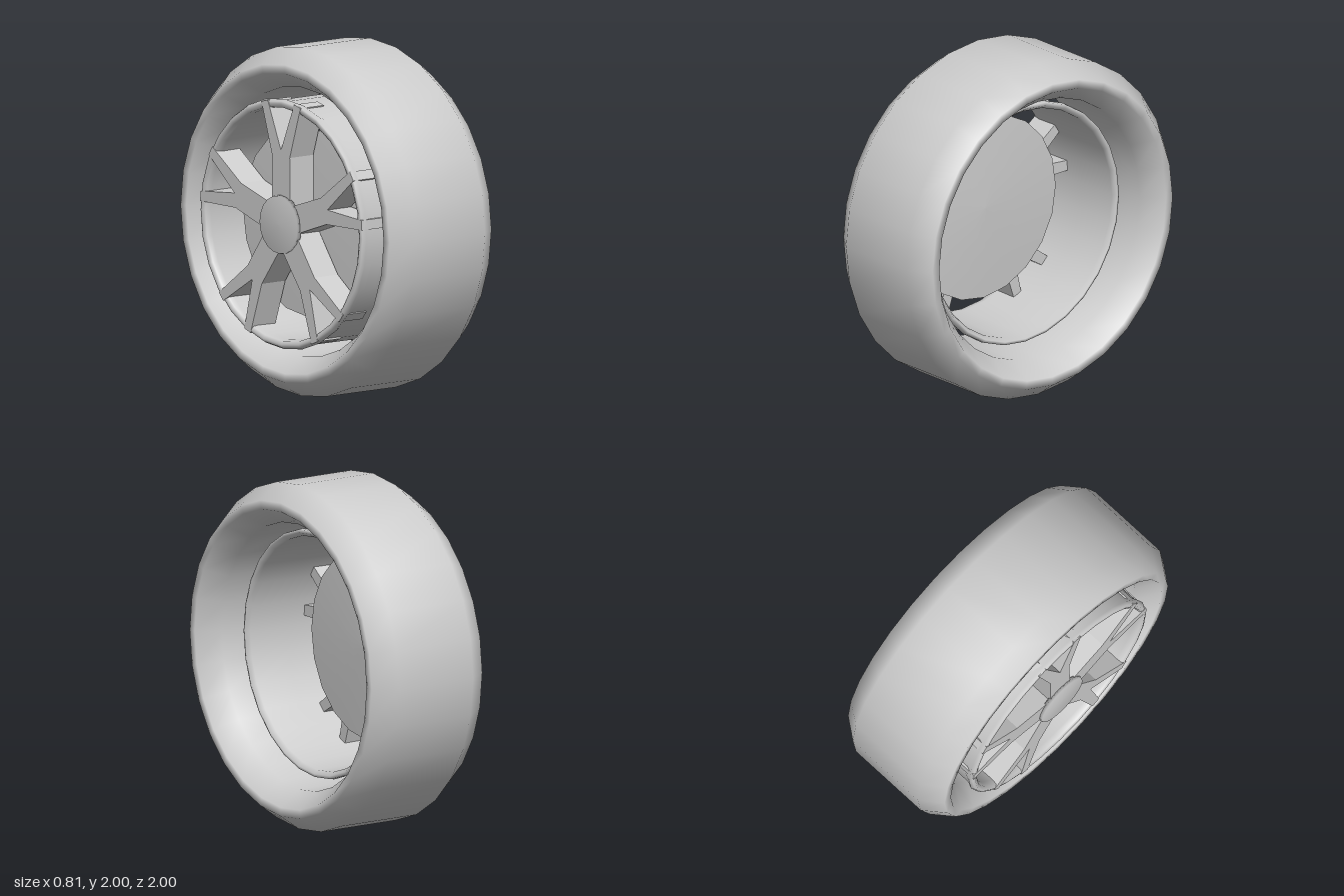
import * as THREE from 'three';

export function createModel() {
  const wheel = new THREE.Group();
  wheel.name = 'wheel';
  const grey = new THREE.MeshStandardMaterial({ color: 0xcccccc });
  grey.name = 'light grey';

  const add = (name, geometry) => {
    const mesh = new THREE.Mesh(geometry, grey);
    mesh.name = name;
    mesh.position.y = 1;
    wheel.add(mesh);
    return mesh;
  };

  // Revolves a profile of [x, radius] points around the x axis
  const revolve = (name, profile, sides) => {
    const points = profile.map(([x, r]) => new THREE.Vector2(r, x));
    return add(name, new THREE.LatheGeometry(points, sides).rotateZ(-Math.PI / 2));
  };

  // Tyre: rounded ring, open through the middle
  revolve('tyre', [
    [0.025, 0.77], [-0.23, 0.77], [-0.355, 0.86], [-0.355, 0.91], [-0.23, 1],
    [0.28, 1], [0.405, 0.91], [0.405, 0.86], [0.28, 0.77], [0.025, 0.77],
  ], 28);

  // Rim barrel: thin shell with a lip at each end
  revolve('rimBarrel', [
    [-0.1, 0.67], [-0.34, 0.665], [-0.375, 0.67], [-0.385, 0.69], [-0.38, 0.705],
    [-0.36, 0.717], [-0.32, 0.7], [0.12, 0.7], [0.145, 0.717], [0.17, 0.713],
    [0.175, 0.695], [0.15, 0.675], [-0.1, 0.67],
  ], 28);

  // Disc behind the spokes, softly shaded to its edge
  revolve('backDisc', [
    [-0.205, 0], [-0.2, 0.545], [-0.18, 0.545], [-0.165, 0],
  ], 20);

  // Hub cap
  revolve('hubCap', [
    [-0.405, 0], [-0.403, 0.165], [-0.375, 0.17], [-0.37, 0],
  ], 20);

  // Five forked spokes
  const half = [[0.08, 0.07], [0.077, 0.39], [0.17, 0.685], [0.115, 0.7]];
  const outline = [
    ...half,
    [0, 0.425],
    ...half.map(([u, v]) => [-u, v]).reverse(),
  ];
  const fork = new THREE.ExtrudeGeometry(
    new THREE.Shape(outline.map(([u, v]) => new THREE.Vector2(u, v))),
    { depth: 0.175, bevelEnabled: false },
  );
  fork.rotateY(-Math.PI / 2).translate(-0.21, 0, 0);
  for (let i = 0; i < 5; i++) {
    add('spoke', fork).rotation.x = (i * Math.PI * 2) / 5;
  }

  return wheel;
}
